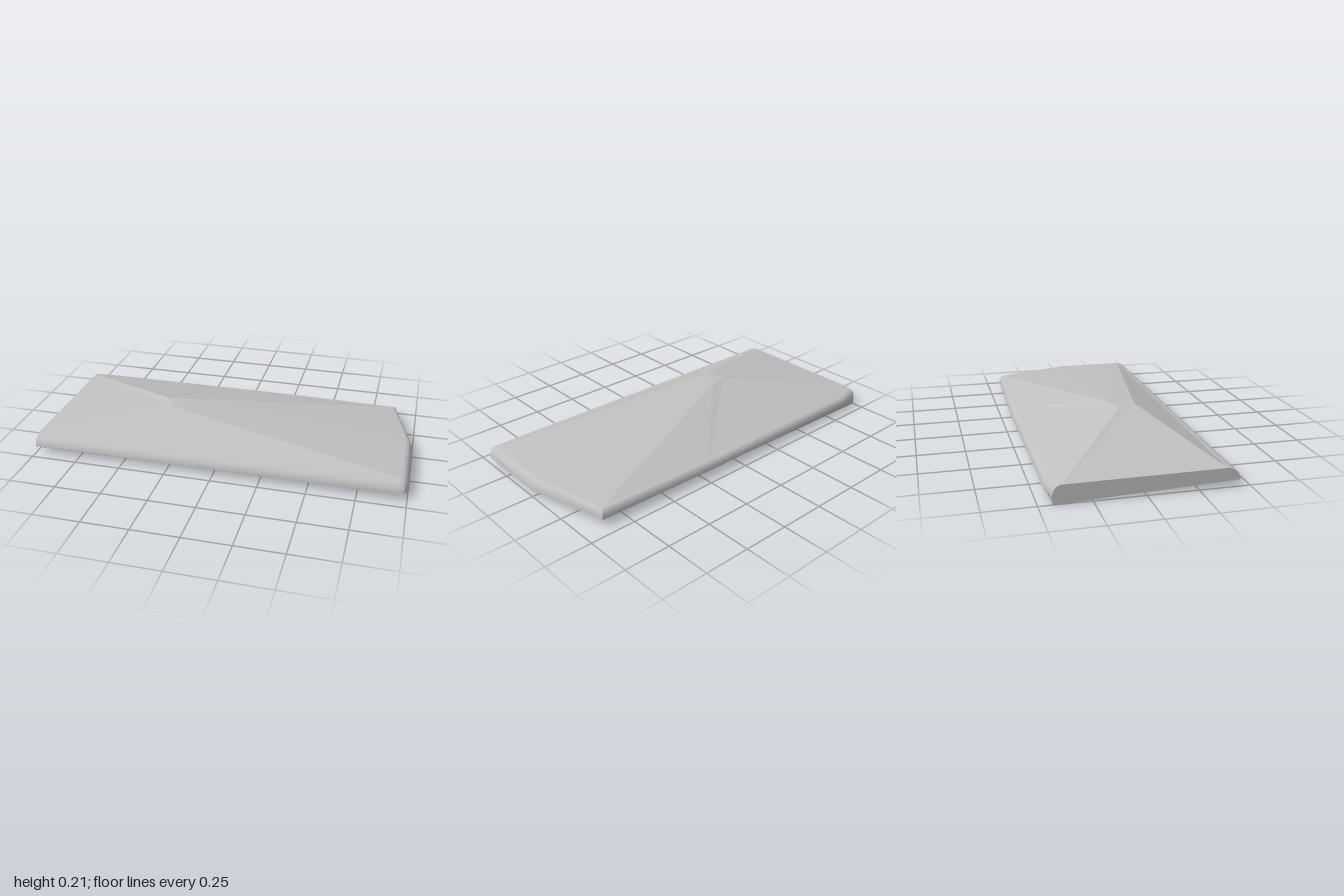
import * as THREE from 'three';
import { toCreasedNormals } from 'three/addons/utils/BufferGeometryUtils.js';

// Highest points of the slab: a small triangular cap
const front = [-0.31, 0.216, 0.14];
const backLow = [-0.36, 0.213, 0.04];
const backHigh = [-0.24, 0.213, 0.015];

// Outline stations, counter-clockwise from above:
// b = bottom corner, o = widest point, t = top of the rounded edge, p = peak it rises to
const stations = [
  { b: [-1, 0.036, 0.447], o: [-1, 0.039, 0.45], t: [-1, 0.098, 0.385], p: front },
  { b: [0.95, 0.04, 0.447], o: [0.95, 0.042, 0.45], t: [0.945, 0.101, 0.39], p: front },
  { b: [0.983, 0.04, 0.437], o: [0.985, 0.042, 0.438], t: [0.952, 0.101, 0.387], p: front },
  { b: [0.997, 0.04, 0.405], o: [1, 0.042, 0.405], t: [0.958, 0.101, 0.38], p: backHigh },
  { b: [0.997, 0.04, 0], o: [1, 0.042, 0], t: [0.965, 0.1, 0], p: backHigh },
  { b: [0.88, 0.037, -0.43], o: [0.885, 0.042, -0.432], t: [0.865, 0.087, -0.405], p: backHigh },
  { b: [0.2, 0.026, -0.433], o: [0.2, 0.041, -0.455], t: [0.2, 0.085, -0.425], p: backHigh },
  { b: [-0.88, 0.005, -0.433], o: [-0.88, 0.04, -0.455], t: [-0.88, 0.086, -0.418], p: backLow },
  { b: [-1, 0.002, -0.433], o: [-1, 0.04, -0.436], t: [-1, 0.095, -0.39], p: backLow },
];

// Quarter-round from the widest point up to the top edge
function edgePoint({ o, t }, k) {
  const c = Math.cos(k * Math.PI / 2), s = Math.sin(k * Math.PI / 2);
  return [t[0] + (o[0] - t[0]) * c, o[1] + (t[1] - o[1]) * s, t[2] + (o[2] - t[2]) * c];
}

function geometryFrom(triangles) {
  const g = new THREE.BufferGeometry();
  g.setAttribute('position', new THREE.Float32BufferAttribute(triangles.flat(2), 3));
  g.computeVertexNormals();
  return g;
}

export function createModel() {
  const group = new THREE.Group();
  const grey = new THREE.MeshStandardMaterial({ color: 0xc0c0c0 });
  grey.name = 'plainGrey';
  const n = stations.length, steps = 5;
  const rim = [], top = [[front, backHigh, backLow]], bottom = [];

  // Rings of the edge, from the bottom corner to the top
  const rings = [stations.map((s) => s.b)];
  for (let k = 0; k <= steps; k++) rings.push(stations.map((s) => edgePoint(s, k / steps)));

  for (let i = 0; i < n; i++) {
    const j = (i + 1) % n;
    for (let r = 0; r < rings.length - 1; r++) {
      const a = rings[r][i], b = rings[r][j], c = rings[r + 1][j], d = rings[r + 1][i];
      rim.push([a, b, c], [a, c, d]);
    }
    // Sloping facets up to the cap
    const s = stations[i], e = stations[j];
    top.push([s.t, e.t, e.p]);
    if (s.p !== e.p) top.push([s.t, e.p, s.p]);
    // Tilted underside
    if (i > 0 && i < n - 1) bottom.push([stations[0].b, e.b, s.b]);
  }

  const add = (name, geometry) => {
    const mesh = new THREE.Mesh(geometry, grey);
    mesh.name = name;
    group.add(mesh);
  };
  add('slopingTop', geometryFrom(top));
  add('roundedEdge', toCreasedNormals(geometryFrom(rim), 0.6));
  add('underside', geometryFrom(bottom));
  return group;
}
